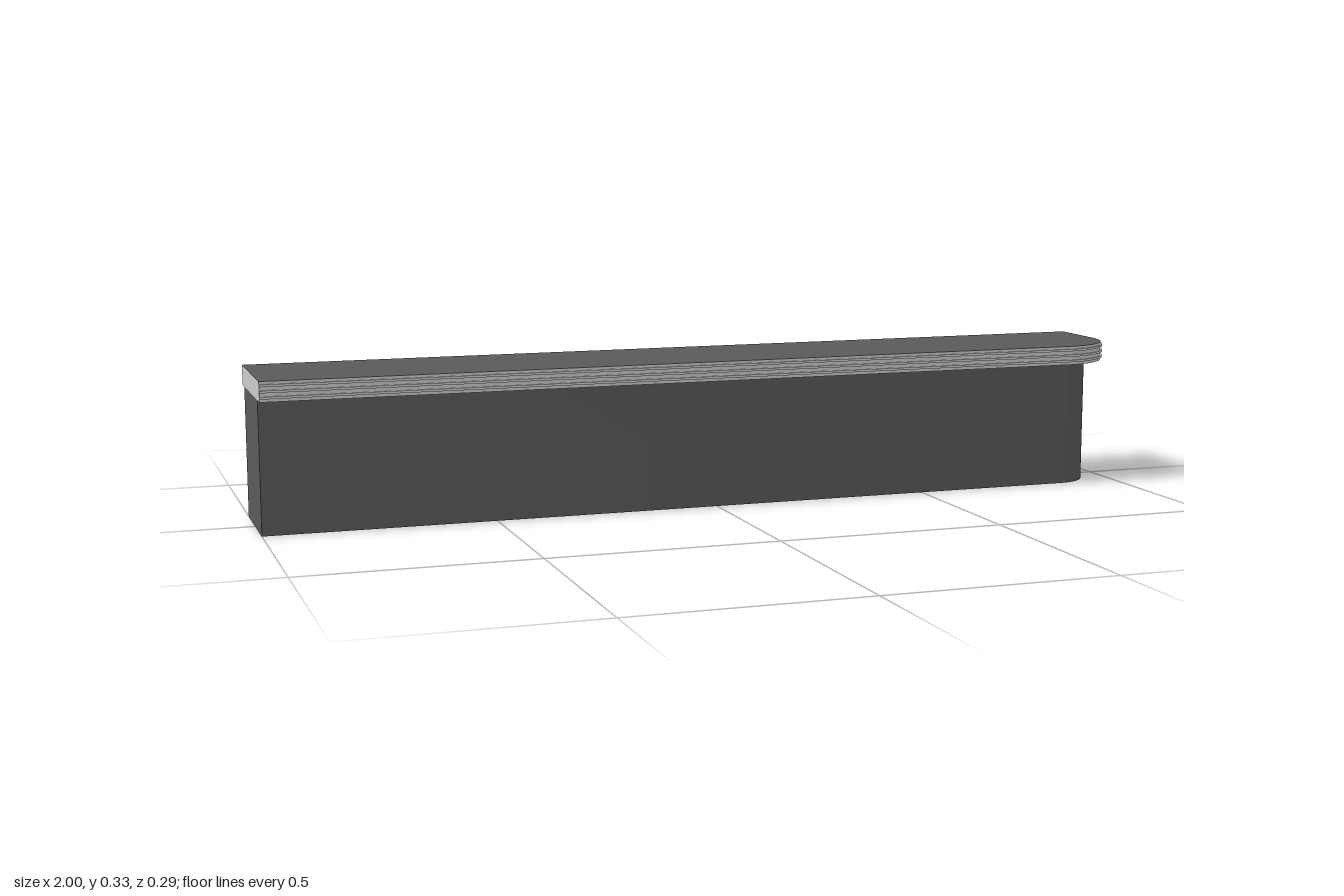
import * as THREE from 'three';
import { toCreasedNormals } from 'three/addons/utils/BufferGeometryUtils.js';

const light = new THREE.MeshStandardMaterial({ color: 0xcccccc });
const dark = new THREE.MeshStandardMaterial({ color: 0x5a5a5a });

// Plan outline drawn in x and -z, with rounded corners at the +x end only.
function plan(right, back, front, frontRadius, backRadius) {
  const s = new THREE.Shape();
  s.moveTo(-1, -front);
  s.lineTo(right - frontRadius, -front);
  s.absarc(right - frontRadius, -front + frontRadius, frontRadius, -Math.PI / 2, 0, false);
  if (backRadius > 0) {
    s.lineTo(right, -back - backRadius);
    s.absarc(right - backRadius, -back - backRadius, backRadius, 0, Math.PI / 2, false);
  } else {
    s.lineTo(right, -back);
  }
  s.lineTo(-1, -back);
  s.closePath();
  return s;
}

// Raise a plan outline into a slab standing at height y.
// A pair of materials colours the flat faces and the edge separately.
function slab(name, shape, y, height, material) {
  const geo = new THREE.ExtrudeGeometry(shape, { depth: height, bevelEnabled: false, curveSegments: 16 });
  geo.rotateX(-Math.PI / 2);
  const mesh = new THREE.Mesh(toCreasedNormals(geo, 0.5), material);
  mesh.name = name;
  mesh.position.y = y;
  return mesh;
}

export function createModel() {
  const group = new THREE.Group();
  group.name = 'barCounter';

  // Dark counter body, rounded at the free end
  group.add(slab('counterBody', plan(0.95, -0.114, 0.109, 0.09, 0.09), 0, 0.285, dark));

  // Overhanging worktop: dark faces, light edge, one rounded front corner
  group.add(slab('worktop', plan(0.996, -0.144, 0.141, 0.14, 0), 0.285, 0.043, [dark, light]));

  // Three thin light ribs around the front and free-end edges of the worktop
  const ribs = new THREE.Group();
  ribs.name = 'edgeRibs';
  for (let i = 0; i < 3; i++) {
    ribs.add(slab('edgeRib', plan(1, -0.144, 0.145, 0.144, 0), 0.2915 + i * 0.0127, 0.005, light));
  }
  group.add(ribs);

  return group;
}
